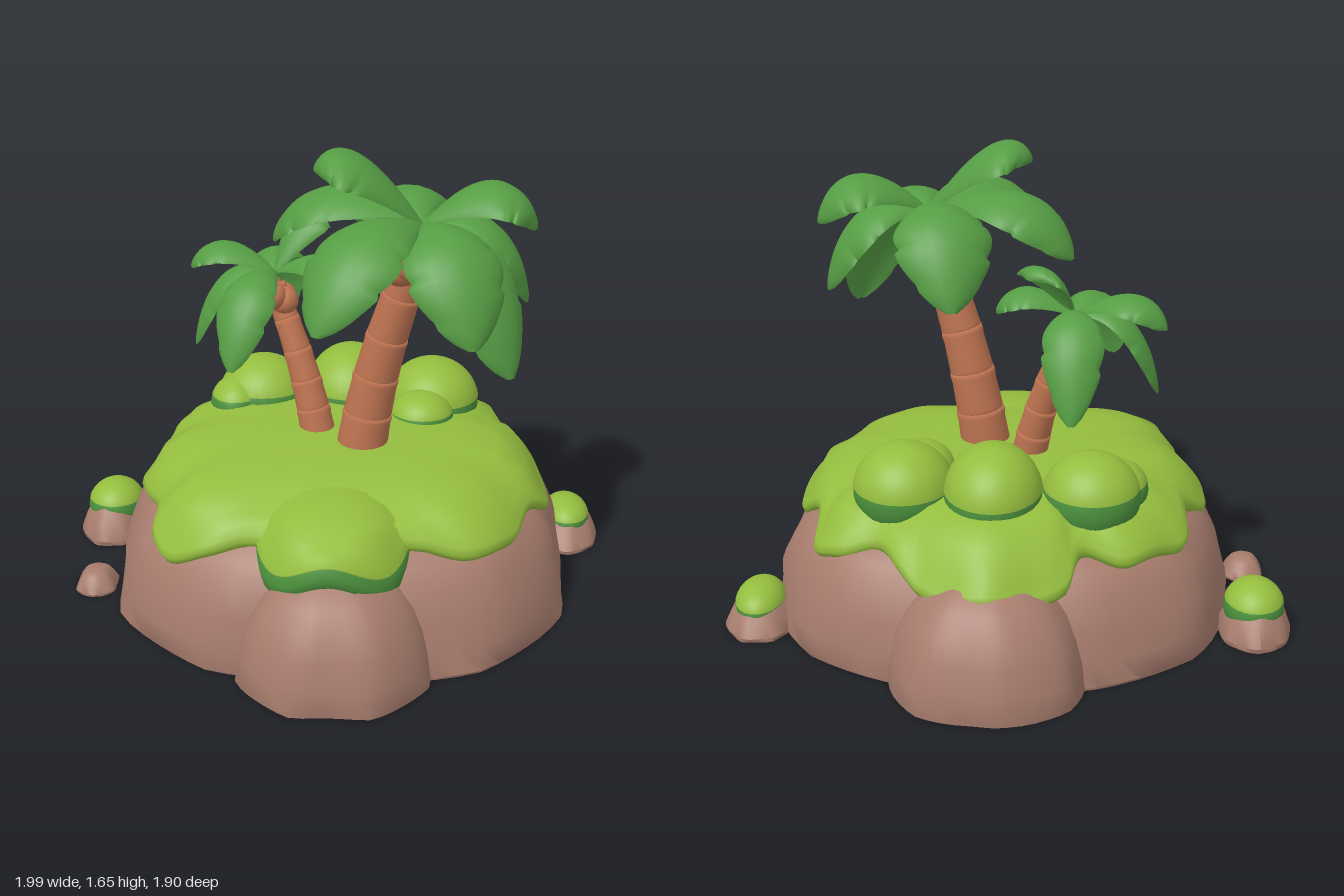
import * as THREE from 'three';
import { mergeVertices, toCreasedNormals } from 'three/addons/utils/BufferGeometryUtils.js';

const mat = (name, color) => Object.assign(new THREE.MeshStandardMaterial({ color }), { name });
const V = (x, y, z) => new THREE.Vector3(x, y, z);

export function createModel() {
  const rock = mat('rock', 0xa87d6e);
  const grass = mat('grass', 0x94bd3e);
  const darkGrass = mat('grass underside', 0x4b8f3c);
  const leaf = mat('leaf', 0x569d44);
  const bark = mat('bark', 0xbe7451);
  const root = new THREE.Group();
  root.name = 'palmIsland';

  const add = (parent, name, geo, material) => {
    const m = new THREE.Mesh(geo, material);
    m.name = name;
    parent.add(m);
    return m;
  };

  // Radius of a unit superellipse at angle t
  const superRadius = (t, power) =>
    Math.pow(Math.abs(Math.cos(t)) ** power + Math.abs(Math.sin(t)) ** power, -1 / power);

  // Surface closed around u (0..1), open along row index j
  function loft(nu, rows, f, crease) {
    const pos = [], idx = [];
    for (let j = 0; j < rows; j++)
      for (let i = 0; i < nu; i++) pos.push(...f(i / nu, j));
    for (let j = 0; j < rows - 1; j++)
      for (let i = 0; i < nu; i++) {
        const k = (i + 1) % nu;
        const a = j * nu + i, b = j * nu + k, c = a + nu, d = b + nu;
        idx.push(a, b, c, b, d, c);
      }
    let g = new THREE.BufferGeometry();
    g.setAttribute('position', new THREE.Float32BufferAttribute(pos, 3));
    g.setIndex(idx);
    g = mergeVertices(g, 1e-5);
    if (crease) return toCreasedNormals(g, crease);
    g.computeVertexNormals();
    return g;
  }

  // Boulder: superellipse footprint, softly faceted sides, profile of [scale, height]
  function boulder(name, cx, cz, rx, rz, h, profile, sides, power, seed) {
    const sector = (2 * Math.PI) / sides;
    const geo = loft(sides * 6, profile.length, (u, j) => {
      const [s, y] = profile[j];
      const t = u * 2 * Math.PI;
      const local = ((t + seed + y * 0.15 + 20 * sector) % sector) - sector / 2;
      const facet = 0.515 + 0.5 * Math.cos(sector / 2) / Math.cos(local);
      const bump = 1 + 0.018 * Math.sin(t * 5 + y * 7 + seed) * Math.sin(y * 5 + t * 3);
      const k = s * superRadius(t, power) * facet * bump;
      return [cx + rx * Math.cos(t) * k, y * h, cz + rz * Math.sin(t) * k];
    }, 0.6);
    return add(root, name, geo, rock);
  }

  const mainProfile = [[0, 1], [0.6, 0.97], [0.74, 0.88], [0.86, 0.74], [0.92, 0.6],
    [0.965, 0.4], [0.99, 0.2], [1, 0.02], [0.995, 0], [0, 0]];
  const lobeProfile = [[0, 1], [0.45, 0.9], [0.65, 0.78], [0.8, 0.62], [0.9, 0.45],
    [0.97, 0.22], [1, 0.02], [0.995, 0], [0, 0]];
  const stoneProfile = [[0, 1], [0.4, 1], [0.62, 0.85], [0.84, 0.5], [1, 0.12], [0.98, 0], [0, 0]];
  boulder('mainRock', 0.03, 0, 0.8, 0.74, 0.5, mainProfile, 11, 2.55, 0.2);
  boulder('frontRock', 0.035, 0.61, 0.33, 0.335, 0.42, lobeProfile, 8, 2.4, 0.4);
  boulder('backRock', 0.04, -0.62, 0.335, 0.34, 0.42, lobeProfile, 8, 2.4, 0.1);
  boulder('leftStone', 0.87, -0.31, 0.13, 0.175, 0.12, stoneProfile, 7, 2, 0.3);
  boulder('rightStone', -0.87, -0.27, 0.13, 0.175, 0.15, stoneProfile, 7, 2, 0.7);
  boulder('pebble', -0.86, 0.17, 0.075, 0.09, 0.07, stoneProfile, 6, 2.6, 0.5);

  // Grass blanket: wavy outline that hangs lower where it reaches further out
  const outline = new THREE.CatmullRomCurve3([
    [0.77, 0.1], [0.69, 0.24], [0.63, 0.42], [0.5, 0.55], [0.3, 0.57], [0, 0.6], [-0.25, 0.57],
    [-0.4, 0.58], [-0.53, 0.53], [-0.6, 0.43], [-0.6, 0.3], [-0.67, 0.15], [-0.7, 0],
    [-0.62, -0.18], [-0.62, -0.35], [-0.54, -0.45], [-0.42, -0.56], [-0.27, -0.57],
    [-0.22, -0.68], [-0.1, -0.75], [0.05, -0.8], [0.2, -0.74], [0.33, -0.64], [0.42, -0.54],
    [0.56, -0.52], [0.65, -0.44], [0.66, -0.27], [0.74, -0.15],
  ].map(([x, z]) => V(x, 0, z)), true);
  // [scale, height, 1 = height is measured from the rim]
  const blanket = [[0, 0.575, 0], [0.35, 0.575, 0], [0.6, 0.565, 0], [0.76, 0.545, 0], [0.88, 0.5, 0],
    [0.95, 0.08, 1], [0.99, 0.045, 1], [1, 0.02, 1], [0.985, 0, 1], [0.95, 0, 1], [0.85, 0.03, 1]];
  add(root, 'grassTop', loft(140, blanket.length, (u, j) => {
    const p = outline.getPoint(u), [s, y, fromRim] = blanket[j];
    const q = (Math.abs((p.x - 0.03) / 0.79) ** 2.5 + Math.abs(p.z / 0.74) ** 2.5) ** 0.4;
    const rim = THREE.MathUtils.clamp(0.38 - (q - 0.87) * 0.8, 0.32, 0.42) + 0.012 * Math.sin(u * Math.PI * 26);
    return [p.x * s, fromRim ? rim + y : y, p.z * s];
  }), grass);

  // Front ledge of grass with a dark hanging rim
  const ledge = (rows) => loft(64, rows.length, (u, j) => {
    const t = u * 2 * Math.PI, [s, y, fromRim] = rows[j];
    const rim = 0.38 - 0.07 * Math.sin(2 * t) ** 2;
    const k = s * superRadius(t, 2.3);
    return [0.025 + 0.27 * k * Math.cos(t), fromRim ? rim + y : y, 0.45 + 0.33 * k * Math.sin(t)];
  });
  add(root, 'ledgeGrass', ledge([[0, 0.56, 0], [0.4, 0.55, 0], [0.65, 0.525, 0], [0.82, 0.49, 0],
    [0.92, 0.105, 1], [0.98, 0.082, 1], [0.96, 0.072, 1]]), grass);
  add(root, 'ledgeRim', ledge([[0.93, 0.09, 1], [0.97, 0.075, 1], [0.995, 0.04, 1], [0.985, 0.01, 1],
    [0.94, 0, 1], [0.7, 0.02, 1]]), darkGrass);

  // Rounded tufts: light cap over a slightly smaller dark base
  function tuft(name, x, y, z, rx, ry, rz, split = 1.42) {
    const g = new THREE.Group();
    g.name = name;
    g.position.set(x, y, z);
    g.rotation.x = -0.06;
    g.scale.set(rx, ry, rz);
    add(g, 'cap', new THREE.SphereGeometry(1, 32, 14, 0, Math.PI * 2, 0, split), grass);
    add(g, 'base', new THREE.SphereGeometry(0.985, 32, 16, 0, Math.PI * 2, split - 0.1, Math.PI - split + 0.1), darkGrass);
    root.add(g);
  }
  tuft('bushMiddle', 0.04, 0.555, -0.395, 0.17, 0.18, 0.195);
  tuft('bushLeft', 0.35, 0.545, -0.34, 0.175, 0.165, 0.18);
  tuft('bushLeftSmall', 0.31, 0.55, -0.175, 0.12, 0.1, 0.12, 1.3);
  tuft('bushRight', -0.29, 0.54, -0.36, 0.17, 0.16, 0.165, 1.3);
  tuft('bushRightSmall', -0.385, 0.54, -0.29, 0.1, 0.1, 0.12, 1.2);
  tuft('leftStoneMoss', 0.875, 0.08, -0.315, 0.09, 0.08, 0.125, 1.35);
  tuft('rightStoneMoss', -0.865, 0.1, -0.275, 0.108, 0.1, 0.12, 1.25);

  // Leaf blade: arched spine, gently domed section and a few notches
  function blade(hub, [x, y, z, top], width) {
    const tip = V(x, y, z);
    const ctrl = hub.clone().lerp(tip, 0.72).setY(top);
    const spine = new THREE.QuadraticBezierCurve3(hub, ctrl, tip);
    const side = V(0, 1, 0).cross(V(x - hub.x, 0, z - hub.z)).normalize();
    const rows = 31;
    return loft(20, rows, (u, j) => {
      const v = j / (rows - 1), a = u * 2 * Math.PI;
      const p = spine.getPoint(v), n = spine.getTangent(v).cross(side);
      const w = width * Math.pow(Math.sin(Math.PI * Math.pow(0.03 + v * 0.965, 1.4)), 0.6);
      const saw = v > 0.4 && v < 0.9 ? (v * 4 + (Math.cos(a) > 0 ? 0 : 0.4)) % 1 : 0;
      const c = Math.cos(a), s = Math.sin(a);
      const across = w * c * (1 - 0.13 * saw ** 3 * c * c);
      const lift = w * (s > 0 ? 0.16 * s : 0.05 * s) - 0.33 * w * c * c;
      return p.addScaledVector(side, across).addScaledVector(n, lift).toArray();
    }, 0.9);
  }

  function palm(name, path, r0, r1, hub, width, leaves, nutSize, nuts) {
    const g = new THREE.Group();
    g.name = name;
    root.add(g);
    // Trunk of stacked, slightly flared segments
    const curve = new THREE.QuadraticBezierCurve3(...path);
    const count = 5;
    for (let i = 0; i < count; i++) {
      const a = curve.getPoint(i / count), b = curve.getPoint((i + 1) / count);
      const d = b.clone().sub(a), len = d.length();
      const r = THREE.MathUtils.lerp(r0, r1, i / count), e = THREE.MathUtils.lerp(r0, r1, (i + 1) / count);
      const profile = [[0, -0.012], [r * 0.97, -0.012], [r, 0.015], [e * 1.02, len - 0.03],
        [e * 1.05, len - 0.008], [e * 1.01, len + 0.008], [0, len + 0.012]];
      const seg = add(g, 'trunkSegment', new THREE.LatheGeometry(profile.map(([x, y]) => new THREE.Vector2(x, y)), 20), bark);
      seg.position.copy(a);
      seg.quaternion.setFromUnitVectors(V(0, 1, 0), d.normalize());
    }
    // Coconuts
    const end = path[2];
    for (let i = 0; i < nuts; i++) {
      const t = (i / nuts) * 2 * Math.PI + 0.4;
      const nut = add(g, 'coconut', new THREE.SphereGeometry(nutSize, 18, 14), bark);
      nut.position.set(end.x + Math.cos(t) * nutSize * 0.8, end.y - 0.04 + 0.025 * (i % 2), end.z + 0.015 + Math.sin(t) * nutSize * 0.8);
    }
    leaves.forEach((l) => add(g, 'leaf', blade(hub, l, width), leaf));
  }

  // Each leaf: tip x, y, z and the height its arch is pulled to
  palm('largePalm', [V(0.1, 0.54, 0.07), V(0.14, 0.88, 0.06), V(0.285, 1.3, 0.12)], 0.09, 0.06,
    V(0.3, 1.4, 0.13), 0.17, [
      [-0.06, 1.58, 0.13, 1.72],
      [-0.21, 1.28, -0.04, 1.59],
      [0.18, 1.16, -0.3, 1.57],
      [0.68, 1.37, 0.05, 1.63],
      [0.66, 1.12, 0.08, 1.5],
      [0.6, 0.98, 0.42, 1.48],
      [0.47, 1.12, 0.53, 1.52],
      [-0.03, 1.18, 0.59, 1.58],
    ], 0.07, 5);
  palm('smallPalm', [V(-0.06, 0.54, -0.03), V(-0.1, 0.78, -0.06), V(-0.22, 1.07, -0.13)], 0.064, 0.04,
    V(-0.22, 1.12, -0.15), 0.105, [
      [-0.51, 0.84, -0.14, 1.2],
      [-0.53, 1.1, -0.24, 1.27],
      [-0.22, 0.84, -0.48, 1.26],
      [-0.35, 0.87, 0.18, 1.24],
      [0.05, 1.1, -0.08, 1.25],
      [-0.07, 1.28, -0.3, 1.37],
    ], 0.05, 5);

  return root;
}
